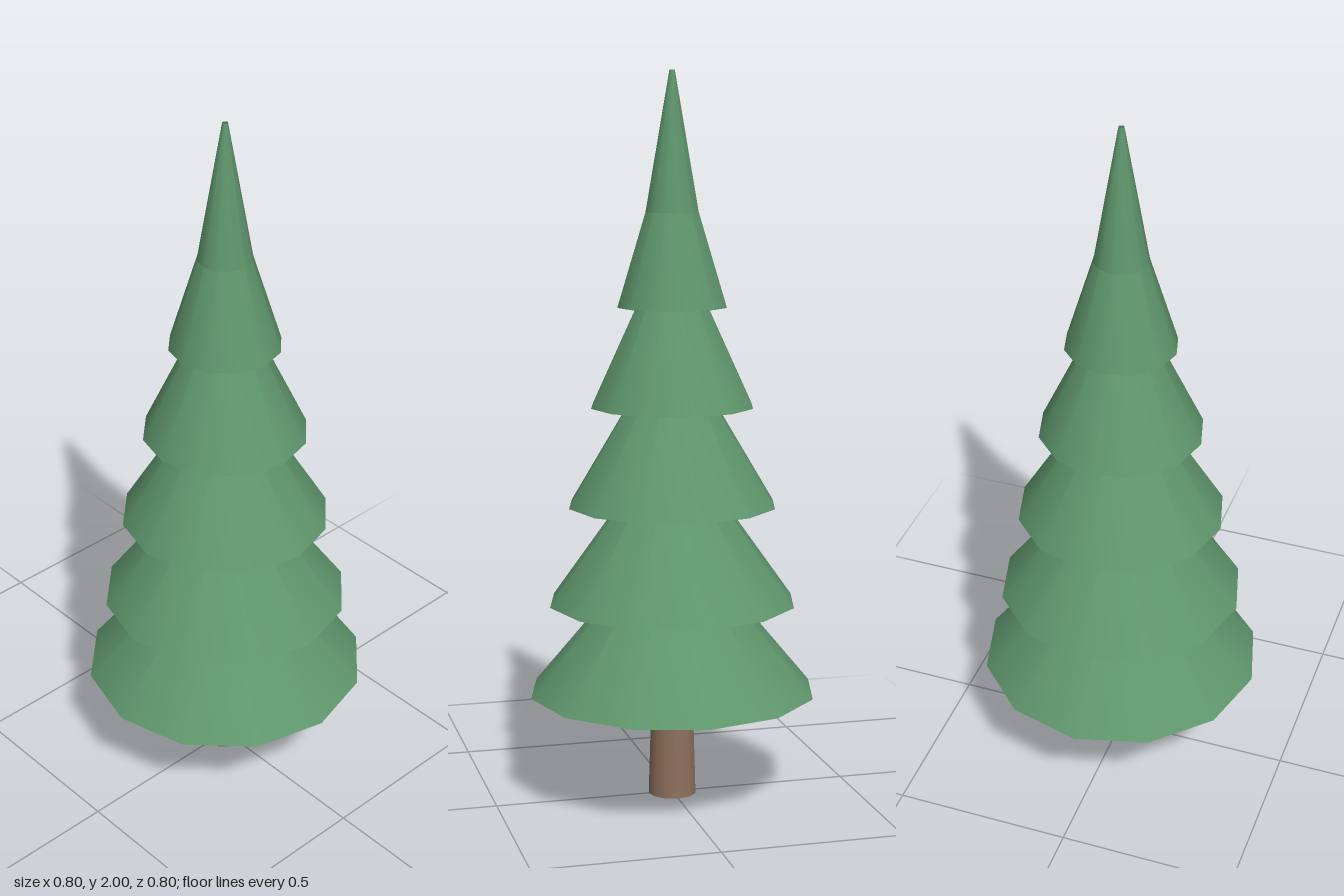
import * as THREE from 'three';

export function createModel() {
  const tree = new THREE.Group();
  tree.name = 'firTree';

  const needles = new THREE.MeshStandardMaterial({ color: 0x5f966c, side: THREE.DoubleSide });
  needles.name = 'needleGreen';
  const bark = new THREE.MeshStandardMaterial({ color: 0x8e715c, side: THREE.DoubleSide });
  bark.name = 'barkBrown';

  // Open twelve-sided frustum standing between two heights
  function frustum(name, material, bottomY, topY, bottomR, topR) {
    const geometry = new THREE.CylinderGeometry(topR, bottomR, topY - bottomY, 12, 1, true);
    geometry.translate(0, (bottomY + topY) / 2, 0);
    const mesh = new THREE.Mesh(geometry, material);
    mesh.name = name;
    tree.add(mesh);
  }

  // Hollow trunk tapering all the way up inside the foliage
  frustum('trunk', bark, 0, 1.97, 0.068, 0.0078);

  // Branch tiers: [rim height, rim radius], all the same height
  const tiers = [[0.297, 0.4], [0.55, 0.345], [0.822, 0.29], [1.095, 0.227], [1.367, 0.153]];
  tiers.forEach(([y, r], i) => frustum(`branchTier${i + 1}`, needles, y, y + 0.47, r, 0.008));

  // Slender crown rising out of the top tier
  frustum('crown', needles, 1.55, 2, 0.087, 0.0075);

  return tree;
}
